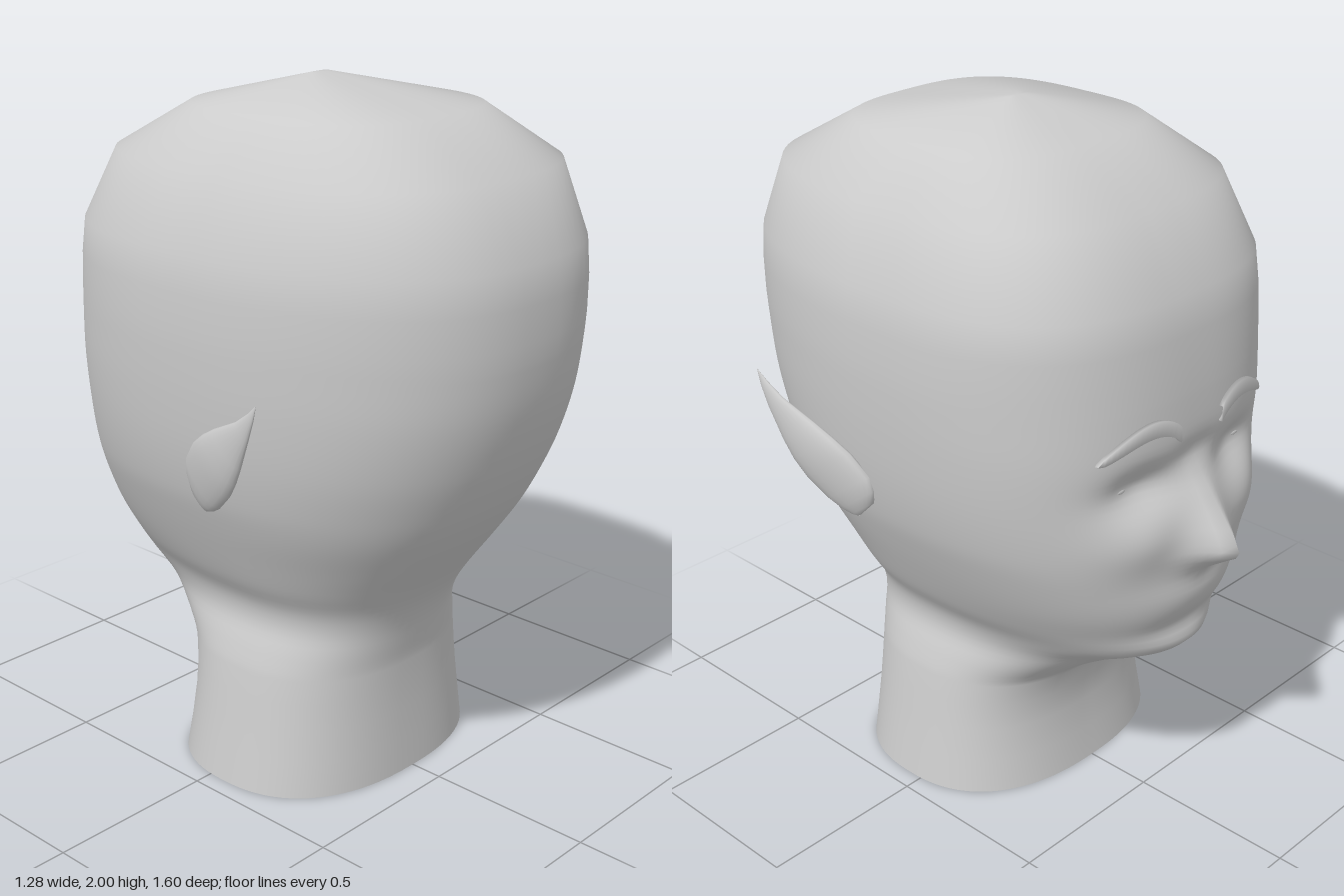
import * as THREE from 'three';

const skin = new THREE.MeshStandardMaterial({ color: 0xcccccc, side: THREE.DoubleSide });
skin.name = 'grey clay';

// Head sections: y, half width, back z, face z, centre z, squareness of face side, squareness of back
const SECTIONS = [
  [0, 0.445, 0.4, -0.295, 0.05, 2.4, 2.4], [0.2, 0.413, 0.39, -0.27, 0.05, 2.4, 2.4],
  [0.35, 0.39, 0.39, -0.295, 0.05, 2.35, 2.4], [0.42, 0.37, 0.4, -0.38, 0.05, 2.25, 2.4],
  [0.49, 0.347, 0.415, -0.5, 0.05, 2.15, 2.4], [0.555, 0.355, 0.44, -0.62, 0.04, 2.15, 2.4],
  [0.63, 0.4, 0.485, -0.635, 0.02, 2.25, 2.4], [0.72, 0.444, 0.55, -0.655, 0, 2.35, 2.4],
  [0.83, 0.492, 0.625, -0.66, 0, 2.45, 2.4], [0.92, 0.525, 0.677, -0.655, 0, 2.5, 2.35],
  [1.05, 0.553, 0.735, -0.65, 0, 2.55, 2.35], [1.2, 0.57, 0.78, -0.645, 0, 2.6, 2.35],
  [1.35, 0.578, 0.8, -0.635, 0, 2.6, 2.35], [1.45, 0.578, 0.8, -0.622, 0, 2.65, 2.4],
  [1.6, 0.565, 0.785, -0.595, 0, 2.8, 2.5], [1.8, 0.495, 0.69, -0.485, 0.03, 3, 2.8],
  [1.93, 0.345, 0.46, -0.27, 0.05, 3, 3], [2, 0.035, 0.03, 0.01, 0.02, 3, 3],
];

// Smoothly interpolated section at height y
function sectionAt(y) {
  let i = 0;
  while (i < SECTIONS.length - 2 && SECTIONS[i + 1][0] <= y) i++;
  const at = (k) => SECTIONS[Math.min(Math.max(k, 0), SECTIONS.length - 1)];
  const [a, b, c, d] = [at(i - 1), at(i), at(i + 1), at(i + 2)];
  const h = c[0] - b[0], t = (y - b[0]) / h;
  const slope = (p, q, k) => ((q[k] - p[k]) / (q[0] - p[0])) * h;
  return b.map((v, k) => {
    const m0 = slope(a, c, k), m1 = slope(b, d, k);
    return v + t * m0 + t * t * (3 * (c[k] - v) - 2 * m0 - m1) + t * t * t * (2 * (v - c[k]) + m0 + m1);
  });
}

const NOSE = [[0.8, 0], [0.83, 0.025], [0.86, 0.075], [0.9, 0.142], [0.95, 0.122], [1.03, 0.062], [1.1, 0.015], [1.17, 0]];
function noseHeight(y) {
  for (let i = 1; i < NOSE.length; i++) {
    const [y0, h0] = NOSE[i - 1], [y1, h1] = NOSE[i];
    if (y >= y0 && y <= y1) return h0 + ((h1 - h0) * (y - y0)) / (y1 - y0);
  }
  return 0;
}

// How far the features push the face forward
function faceRelief(x, y) {
  const ax = Math.abs(x);
  const bump = (cx, cy, sx, sy) => Math.exp(-(((ax - cx) / sx) ** 2) - ((y - cy) / sy) ** 2);
  return noseHeight(y) * Math.exp(-((ax / 0.075) ** 1.3))
    - 0.05 * bump(0.19, 1.11, 0.11, 0.06)    // eye sockets
    - 0.02 * bump(0, 1.16, 0.09, 0.045)      // nose bridge
    + 0.03 * bump(0.22, 0.96, 0.12, 0.09)    // cheeks
    + 0.022 * bump(0, 0.76, 0.2, 0.08)       // lips
    - 0.01 * bump(0, 0.645, 0.15, 0.03)      // hollow above the chin
    + 0.008 * bump(0, 0.575, 0.14, 0.04);    // chin
}

function headPoint(phi, y) {
  const [, w, back, front, zc, nFace, nBack] = sectionAt(y);
  const s = Math.sin(phi), c = Math.cos(phi);
  const e = 2 / (c > 0 ? nFace : nBack);
  const x = w * Math.sign(s) * Math.abs(s) ** e;
  const reach = Math.abs(c) ** e;
  if (c <= 0) return new THREE.Vector3(x, y, zc + (back - zc) * reach);
  return new THREE.Vector3(x, y, zc + (front - zc) * reach - faceRelief(x, y) * Math.min(1, c * 2));
}

function faceZ(x, y) {
  const [, w, , , , n] = sectionAt(y);
  return headPoint(Math.asin((x / w) ** (n / 2)), y).z;
}

// Skin over a stack of closed rings
function loft(rings) {
  const n = rings[0].length, index = [];
  for (let i = 0; i < rings.length - 1; i++) {
    for (let j = 0; j < n; j++) {
      const a = i * n + j, b = i * n + ((j + 1) % n);
      index.push(a, a + n, b, b, a + n, b + n);
    }
  }
  const geo = new THREE.BufferGeometry().setFromPoints(rings.flat());
  geo.setIndex(index);
  geo.computeVertexNormals();
  return geo;
}

function headGeometry() {
  const levels = [0, 0.1, 0.2, 0.28];
  for (let y = 0.35; y < 1.36; y += 0.02) levels.push(y);
  levels.push(1.4, 1.5, 1.6, 1.8, 1.93, 2);
  const count = 112;
  const rings = levels.map((y) => Array.from({ length: count }, (_, j) => {
    const t = (j / count) * Math.PI * 2 - Math.PI;
    return headPoint(t - 0.5 * Math.sin(t), y);   // denser towards the face
  }));
  rings.push(rings[0].map(() => new THREE.Vector3(0, 2, 0.02)));   // close the crown
  return loft(rings);
}

// Ear sections: distance along the ear, front edge, rear edge, x, half thickness
const EAR = [
  [0, 0.012, 0, 0.545, 0.002], [0.012, 0.082, -0.012, 0.55, 0.014], [0.04, 0.113, -0.03, 0.557, 0.022],
  [0.08, 0.132, -0.046, 0.567, 0.028], [0.16, 0.127, -0.062, 0.588, 0.03], [0.22, 0.108, -0.062, 0.602, 0.028],
  [0.28, 0.082, -0.054, 0.613, 0.023], [0.38, 0.03, -0.033, 0.628, 0.013], [0.44, 0.01, -0.017, 0.634, 0.007],
  [0.486, 0, 0, 0.638, 0],
];
function earGeometry(side) {
  const count = 20;
  return loft(EAR.map(([s, front, rear, x, thick]) => Array.from({ length: count }, (_, j) => {
    const a = (j / count) * Math.PI * 2 * side;
    const p = (front + rear) / 2 + ((front - rear) / 2) * Math.cos(a);
    return new THREE.Vector3(
      side * (x - 0.12 * p + thick * Math.sin(a)),
      0.9 + 0.803 * s + 0.597 * p,
      0.11 + 0.597 * s - 0.803 * p);
  })));
}

// Arched eyebrow lying just off the forehead
function browGeometry(side) {
  const steps = 16, rings = [];
  for (let i = 0; i <= steps; i++) {
    const u = i / steps, x = 0.085 + 0.255 * u;
    const y = 1.245 + 0.05 * Math.sin(Math.PI * u ** 0.8) - 0.025 * u;
    const half = 0.021 * Math.sqrt(1 - u ** 3) + 0.001;
    const corner = (dy, lift) => new THREE.Vector3(side * x, y + dy, faceZ(x, y + dy) - lift);
    const ring = [corner(-half, -0.003), corner(-half, 0.012), corner(half, 0.012), corner(half, -0.003)];
    rings.push(side > 0 ? ring : ring.reverse());
  }
  return loft(rings);
}

export function createModel() {
  const model = new THREE.Group();
  model.name = 'head bust';
  const add = (geometry, name) => {
    const mesh = new THREE.Mesh(geometry, skin);
    mesh.name = name;
    model.add(mesh);
    return mesh;
  };
  add(headGeometry(), 'head and neck');
  for (const side of [1, -1]) {
    const label = side > 0 ? 'left' : 'right';
    add(earGeometry(side), label + ' ear');
    add(browGeometry(side), label + ' eyebrow');
    // Eye barely showing in its socket
    const eye = add(new THREE.SphereGeometry(0.03, 16, 12), label + ' eye');
    eye.scale.set(1, 0.4, 0.5);
    eye.position.set(side * 0.24, 1.11, faceZ(0.24, 1.11) + 0.012);
  }
  return model;
}
